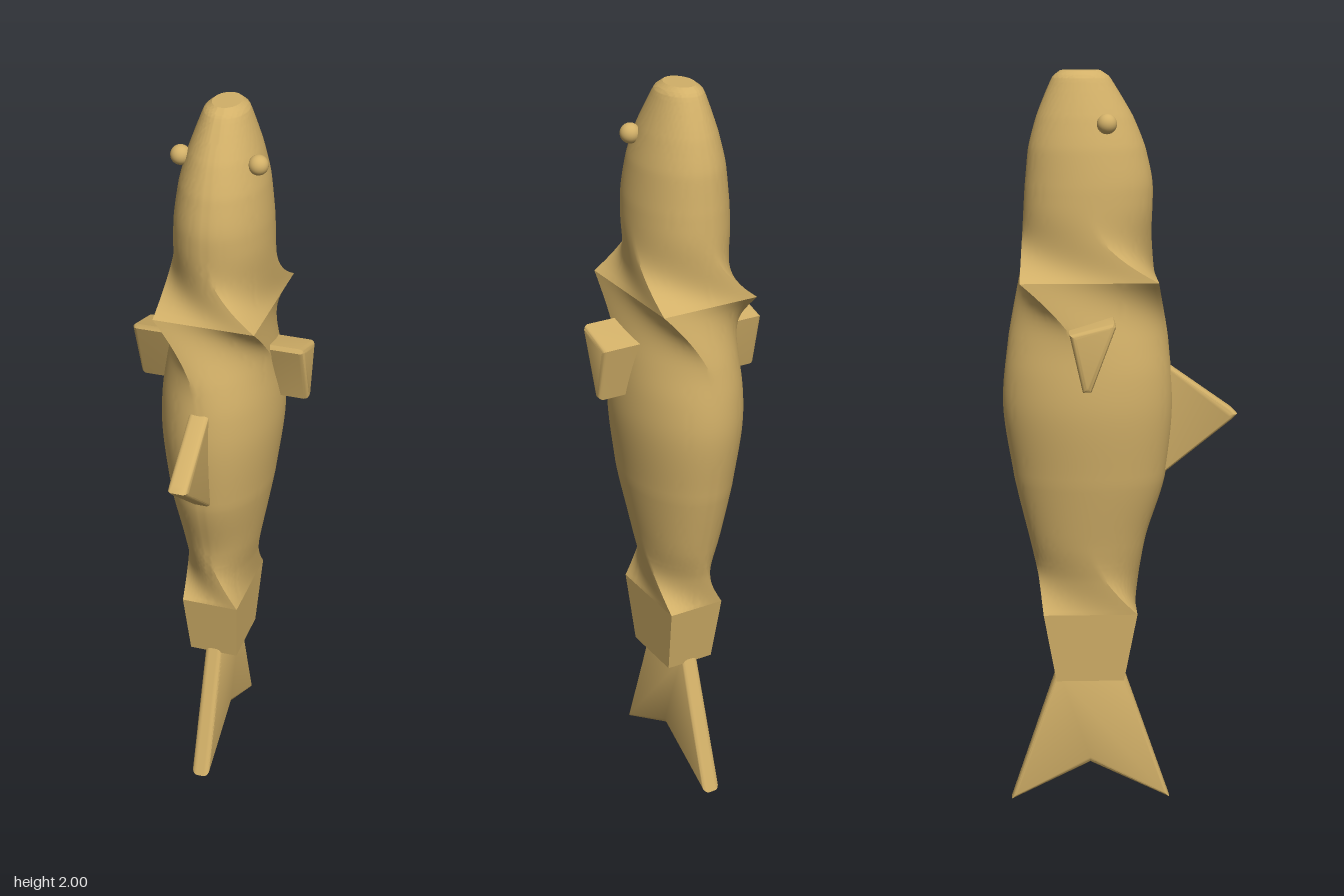
import * as THREE from 'three';
import { toCreasedNormals } from 'three/addons/utils/BufferGeometryUtils.js';

const N = 96; // points around each body cross-section

// Point on a rectangle (half sizes 1), starting at the +x +z corner, one side per quarter turn
function squarePoint(i) {
  const corners = [[1, 1], [-1, 1], [-1, -1], [1, -1]];
  const f = ((i % N) + N) % N / (N / 4), k = Math.floor(f), t = f - k;
  const a = corners[k], b = corners[(k + 1) % 4];
  return [a[0] + (b[0] - a[0]) * t, a[1] + (b[1] - a[1]) * t];
}

// Rounded section, turned an eighth so that square corners twist onto its axes
function roundPoint(i) {
  const a = (i / N) * Math.PI * 2 + Math.PI / 2;
  return [Math.cos(a), Math.sin(a)];
}

// Loft through sections [y, half width, front z, back z].
// low / high: heights over which a square end melts into the round body
function loft(sections, rows, low, high) {
  const sizes = new THREE.CatmullRomCurve3(sections.map(s => new THREE.Vector3(s[1], s[2], s[3])));
  const heights = new THREE.CatmullRomCurve3(sections.map(s => new THREE.Vector3(s[0], 0, 0)));
  const y0 = sections[0][0], y1 = sections[sections.length - 1][0];
  const pos = [], index = [];
  const ease = s => { s = Math.min(Math.max(s, 0), 1); return (1 - s) * (1 - s); };
  for (let r = 0; r <= rows; r++) {
    const t = r / rows, y = heights.getPoint(t).x, { x: hx, y: zf, z: zb } = sizes.getPoint(t);
    const wLow = low ? ease((y - y0) / low) : 0;
    const wHigh = high ? ease((y1 - y) / high) : 0;
    for (let i = 0; i < N; i++) {
      const p = roundPoint(i), a = squarePoint(i), b = squarePoint(i + N / 4);
      const w = 1 - wLow - wHigh;
      const x = p[0] * w + a[0] * wLow + b[0] * wHigh;
      const z = p[1] * w + a[1] * wLow + b[1] * wHigh;
      pos.push(x * hx, y, (zf + zb) / 2 + z * (zf - zb) / 2);
    }
  }
  for (let r = 0; r < rows; r++) for (let i = 0; i < N; i++) {
    const a = r * N + i, b = r * N + (i + 1) % N;
    index.push(a, a + N, b, b, a + N, b + N);
  }
  // end caps
  const last = rows * N;
  for (let i = 1; i < N - 1; i++) {
    index.push(0, i, i + 1, last, last + i + 1, last + i);
  }
  const g = new THREE.BufferGeometry();
  g.setAttribute('position', new THREE.Float32BufferAttribute(pos, 3));
  g.setIndex(index);
  return toCreasedNormals(g, 0.45);
}

// Fin outline given as [z, y] points, extruded across x with rounded edges
function fin(points, halfThickness, bevel) {
  const shape = new THREE.Shape(points.map(p => new THREE.Vector2(p[0], p[1])));
  const depth = 2 * (halfThickness - bevel);
  const g = new THREE.ExtrudeGeometry(shape, {
    depth, bevelEnabled: true, bevelThickness: bevel, bevelSize: bevel, bevelOffset: -bevel, bevelSegments: 4,
  });
  g.translate(0, 0, -depth / 2);
  g.rotateY(-Math.PI / 2);
  return toCreasedNormals(g, 0.6);
}

export function createModel() {
  const group = new THREE.Group();
  const tan = new THREE.MeshStandardMaterial({ color: 0xd2b068 });
  tan.name = 'tan';
  const add = (name, geometry) => {
    const mesh = new THREE.Mesh(geometry, tan);
    mesh.name = name;
    group.add(mesh);
    return mesh;
  };

  // tapered square root of the tail
  const stem = new THREE.BoxGeometry(2, 0.19, 2);
  const sp = stem.attributes.position;
  for (let i = 0; i < sp.count; i++) {
    const top = sp.getY(i) > 0;
    const zc = top ? -0.082 : -0.083, hz = top ? 0.127 : 0.092, hx = top ? 0.079 : 0.068;
    sp.setXYZ(i, sp.getX(i) * hx, top ? 0.55 : 0.36, zc + sp.getZ(i) * hz);
  }
  stem.computeVertexNormals();
  add('tailStem', stem);

  // trunk, square at both ends
  add('body', loft([
    [0.55, 0.079, 0.045, -0.209],
    [0.65, 0.09, 0.054, -0.222],
    [0.75, 0.107, 0.07, -0.245],
    [0.92, 0.138, 0.122, -0.285],
    [1.13, 0.16, 0.142, -0.313],
    [1.3, 0.15, 0.128, -0.297],
    [1.46, 0.136, 0.097, -0.265],
  ], 64, 0.22, 0.26));

  // head, square at the neck and round to the snout
  add('head', loft([
    [1.46, 0.136, 0.097, -0.265],
    [1.58, 0.13, 0.085, -0.257],
    [1.7, 0.125, 0.087, -0.25],
    [1.8, 0.113, 0.068, -0.24],
    [1.88, 0.093, 0.036, -0.219],
    [1.95, 0.069, -0.005, -0.191],
    [1.985, 0.055, -0.028, -0.174],
    [2.0, 0.037, -0.05, -0.155],
  ], 64, 0.2, 0));

  // fins
  add('tailFin', fin([[0.01, 0.375], [0.138, 0.0], [-0.082, 0.107], [-0.302, 0.0], [-0.175, 0.375]], 0.025, 0.015));
  add('dorsalFin', fin([[0.08, 1.26], [0.08, 0.9], [0.3, 1.075], [0.315, 1.09], [0.3, 1.105]], 0.027, 0.012));
  add('sideFins', fin([[-0.023, 1.372], [-0.018, 1.36], [-0.082, 1.19], [-0.104, 1.19], [-0.138, 1.34]], 0.236, 0.014));

  // eyes
  for (const side of [1, -1]) {
    const eye = add(side > 0 ? 'leftEye' : 'rightEye', new THREE.SphereGeometry(0.026, 24, 16));
    eye.position.set(side * 0.102, 1.867, -0.037);
  }
  return group;
}
